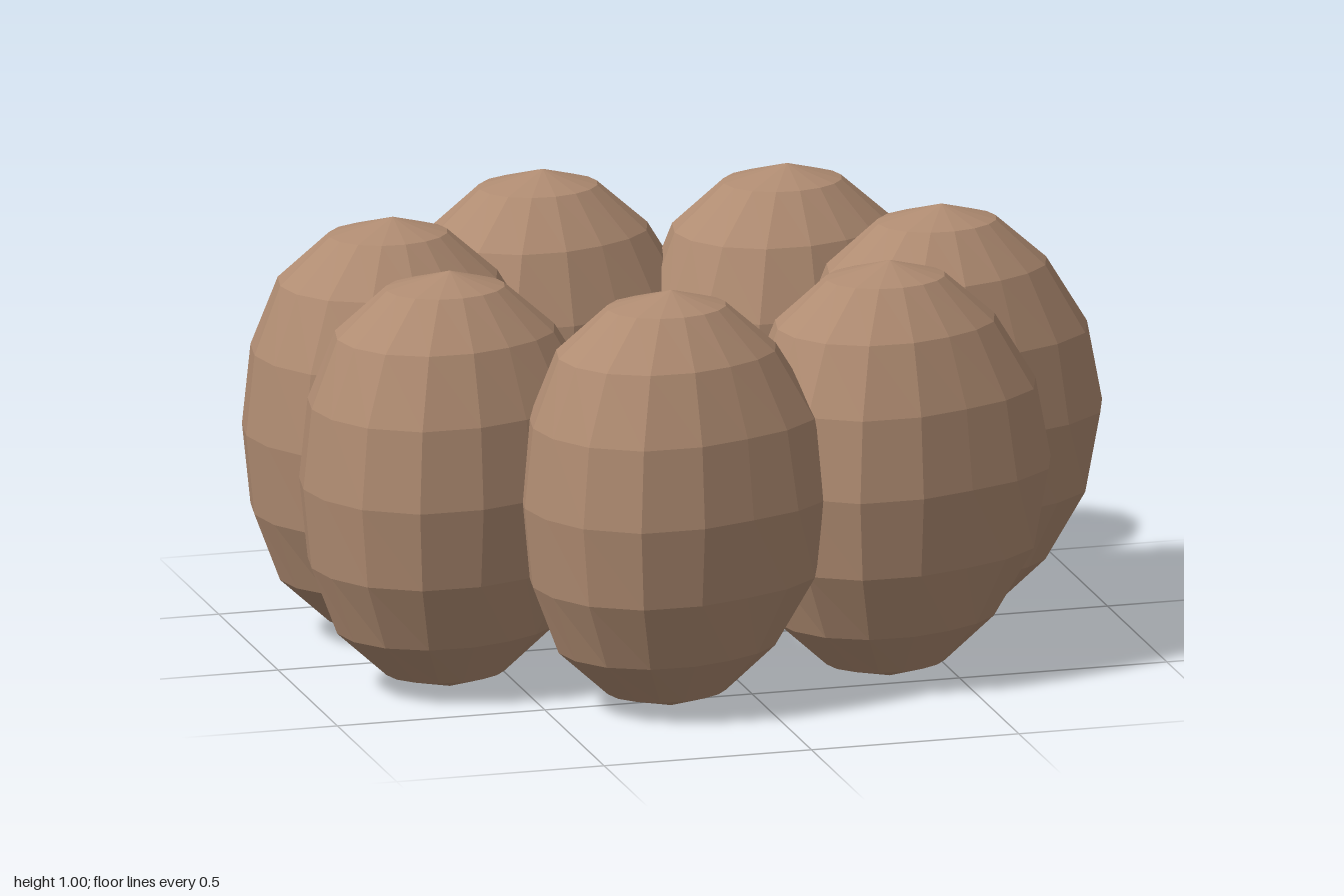
import * as THREE from 'three';

// One lumpy low-poly egg-shaped stone, standing on its lower pole
function stoneGeometry() {
  const geo = new THREE.SphereGeometry(1, 16, 8);
  const pos = geo.attributes.position;
  const v = new THREE.Vector3();
  for (let i = 0; i < pos.count; i++) {
    v.fromBufferAttribute(pos, i);
    // blunt towards -x, more pointed towards +x
    const f = 1 - 0.08 * Math.sin(3.75 * v.x);
    pos.setXYZ(i, v.x * 0.37 * f, v.y * 0.5 + 0.5, v.z * 0.285 * f);
  }
  geo.computeVertexNormals();
  return geo;
}

export function createModel() {
  const group = new THREE.Group();
  group.name = 'stoneRing';
  const clay = new THREE.MeshStandardMaterial({ color: 0xb08c72, flatShading: true });
  clay.name = 'clay brown';
  const geo = stoneGeometry();

  // Seven equal stones around an oval, all facing the same way
  const count = 7;
  for (let i = 0; i < count; i++) {
    const a = (i / count) * Math.PI * 2;
    const stone = new THREE.Mesh(geo, clay);
    stone.name = `stone${i + 1}`;
    stone.position.set(-0.06 + 0.66 * Math.cos(a), 0, 0.555 * Math.sin(a));
    group.add(stone);
  }
  return group;
}
